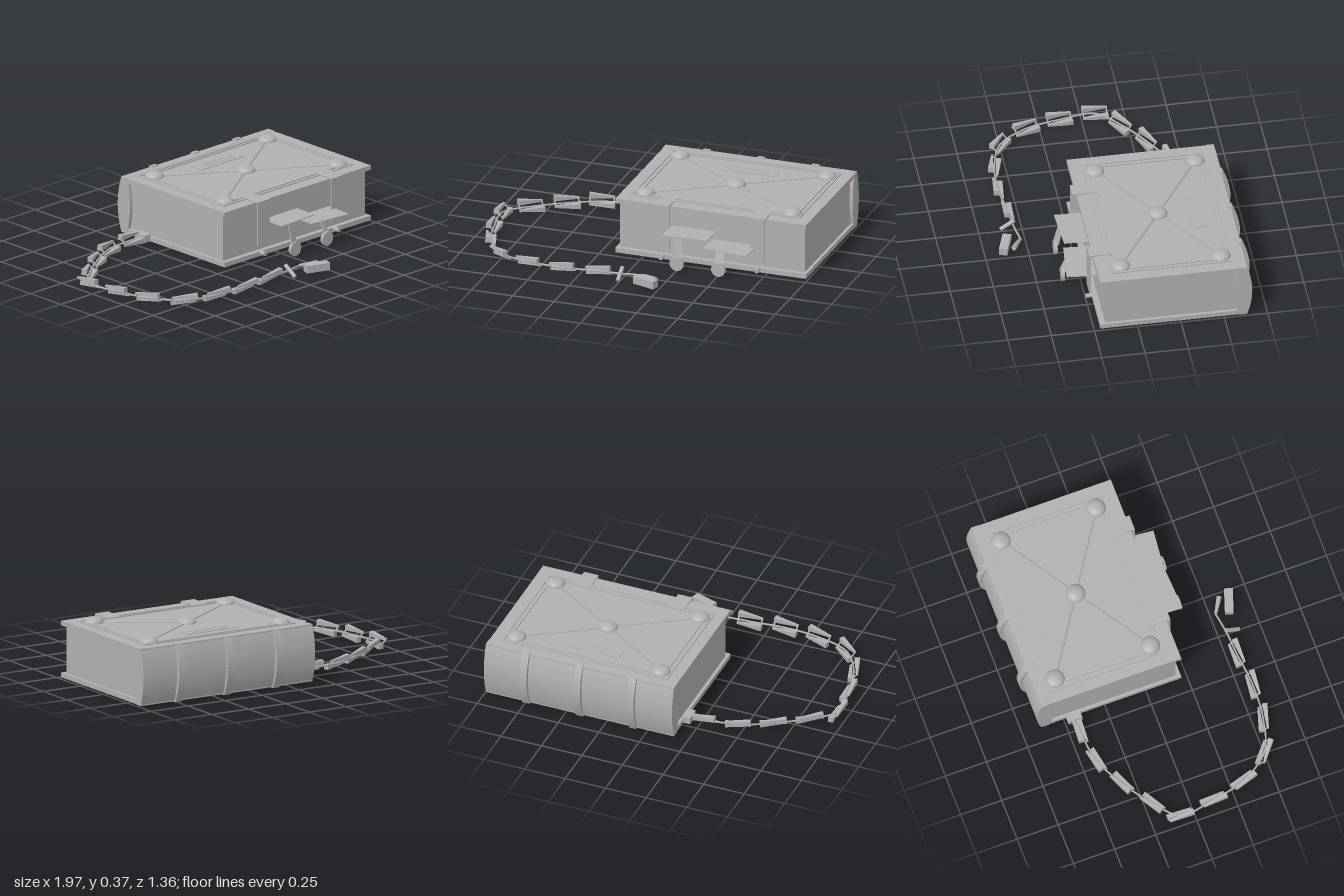
import * as THREE from 'three';

const V = (x, y, z) => new THREE.Vector3(x, y, z);

export function createModel() {
  const grey = new THREE.MeshStandardMaterial({ color: 0xb0b0b0 });
  grey.name = 'plain grey';
  const greySheet = grey;
  greySheet.side = THREE.DoubleSide;
  const model = new THREE.Group();
  model.name = 'chainedBook';

  const add = (name, geometry, parent = model) => {
    const mesh = new THREE.Mesh(geometry, grey);
    mesh.name = name;
    parent.add(mesh);
    return mesh;
  };
  // box given by its lower and upper limits
  const box = (name, x0, x1, y0, y1, z0, z1, parent) => {
    const m = add(name, new THREE.BoxGeometry(x1 - x0, y1 - y0, z1 - z0), parent);
    m.position.set((x0 + x1) / 2, (y0 + y1) / 2, (z0 + z1) / 2);
    return m;
  };
  // straight, optionally tapered bar between two points
  const bar = (name, a, b, r0, r1, sides, parent) => {
    const d = b.clone().sub(a);
    const g = new THREE.CylinderGeometry(r1, r0, d.length(), sides);
    const m = add(name, sides < 6 ? g.toNonIndexed() : g, parent);
    if (sides < 6) m.geometry.computeVertexNormals();
    m.position.copy(a).add(b).multiplyScalar(0.5);
    m.quaternion.setFromUnitVectors(V(0, 1, 0), d.normalize());
    return m;
  };

  // pages and covers
  box('pageBlock', -0.145, 0.975, 0.03, 0.33, -0.6, 0.185);
  box('topCover', -0.163, 0.993, 0.318, 0.345, -0.635, 0.215);
  box('bottomCover', -0.163, 0.993, 0.014, 0.042, -0.635, 0.215);

  // rounded spine and its raised bands, as profiles extruded along x
  const alongX = (name, shape, x0, x1) => {
    const g = new THREE.ExtrudeGeometry(shape, { depth: x1 - x0, bevelEnabled: false, curveSegments: 14 });
    const m = add(name, g);
    m.rotation.y = Math.PI / 2;
    m.position.x = x0;
  };
  const spine = new THREE.Shape();
  spine.moveTo(0.587, 0.012);
  spine.lineTo(0.632, 0.012);
  spine.quadraticCurveTo(0.692, 0.18, 0.632, 0.347);
  spine.lineTo(0.587, 0.347);
  spine.quadraticCurveTo(0.535, 0.18, 0.587, 0.012);
  alongX('spine', spine, -0.165, 0.995);

  const band = new THREE.Shape();
  band.moveTo(0.615, 0.006);
  band.lineTo(0.642, 0.008);
  band.quadraticCurveTo(0.728, 0.18, 0.642, 0.352);
  band.lineTo(0.615, 0.353);
  band.closePath();
  for (const x of [0.085, 0.415, 0.745]) alongX('spineBand', band, x - 0.022, x + 0.022);

  // raised double frame on the top cover
  const frame = (x0, x1, z0, z1, w) => {
    const y0 = 0.344, y1 = 0.351;
    box('coverFrame', x0, x1, y0, y1, z0, z0 + w);
    box('coverFrame', x0, x1, y0, y1, z1 - w, z1);
    box('coverFrame', x0, x0 + w, y0, y1, z0, z1);
    box('coverFrame', x1 - w, x1, y0, y1, z0, z1);
  };
  frame(-0.097, 0.925, -0.568, 0.14, 0.01);
  frame(-0.067, 0.898, -0.54, 0.11, 0.008);

  // domed studs joined by diagonal ridges
  const centre = V(0.415, 0.346, -0.213);
  const dome = (p) => {
    const m = add('stud', new THREE.SphereGeometry(0.056, 20, 8, 0, Math.PI * 2, 0, Math.PI / 2));
    m.scale.y = 0.58;
    m.position.copy(p);
  };
  dome(centre);
  for (const x of [-0.03, 0.86]) for (const z of [-0.502, 0.077]) {
    const p = V(x, 0.346, z);
    dome(p);
    bar('diagonalRidge', centre, p, 0.007, 0.007, 6);
  }

  // title plate with two blank raised lines
  box('titlePlate', 0.24, 0.58, 0.344, 0.349, -0.475, -0.39);
  for (const z of [-0.45, -0.42]) box('plateLine', 0.29, 0.53, 0.349, 0.351, z - 0.004, z + 0.004);

  // clasp straps folding over the front edge
  for (const x of [0.125, 0.705]) {
    box('claspStrapTop', x - 0.045, x + 0.045, 0.343, 0.352, 0.1, 0.238);
    box('claspStrapFront', x - 0.045, x + 0.045, 0.085, 0.352, 0.229, 0.238);
    bar('claspPin', V(x, 0.034, 0.21), V(x, 0.034, 0.252), 0.013, 0.013, 12);
  }

  // loose paper slips, each with a ribbon and a round seal
  const slip = (pts, y, sealX, sealZ) => {
    const g = new THREE.Group();
    g.name = 'sealedSlip';
    model.add(g);
    const s = new THREE.Shape(pts.map(([x, z]) => new THREE.Vector2(x, -z)));
    const sheet = add('paperSlip', new THREE.ExtrudeGeometry(s, { depth: 0.004, bevelEnabled: false }), g);
    sheet.rotation.x = -Math.PI / 2;
    sheet.position.y = y;
    const top = V(sealX - 0.005, y, sealZ - 0.035), low = V(sealX, 0.09, sealZ - 0.006);
    const ribbon = bar('ribbon', top, low, 0.022, 0.026, 4, g);
    ribbon.geometry.rotateY(Math.PI / 4);
    ribbon.geometry.scale(1.5, 1, 0.15);
    bar('waxSeal', V(sealX, 0.058, sealZ - 0.009), V(sealX, 0.058, sealZ + 0.009), 0.042, 0.042, 20, g);
  };
  slip([[0.17, 0.185], [0.44, 0.185], [0.435, 0.33], [0.165, 0.345]], 0.212, 0.26, 0.353);
  slip([[0.42, 0.185], [0.695, 0.185], [0.68, 0.358], [0.41, 0.332]], 0.162, 0.512, 0.353);

  // chain anchor on the bottom cover
  box('chainAnchor', -0.203, -0.155, 0.012, 0.055, -0.485, -0.4);

  // links: two wedge bars tapering in opposite directions, closed by thin ends
  const links = [[-0.27, -0.44], [-0.47, -0.415], [-0.65, -0.325], [-0.825, -0.205], [-0.948, -0.08],
    [-0.925, 0.13], [-0.875, 0.33], [-0.755, 0.5], [-0.56, 0.565], [-0.35, 0.58], [-0.14, 0.56]];
  const chain = new THREE.Group();
  chain.name = 'chain';
  model.add(chain);
  const angles = [-0.05, -0.3, -0.52, -0.65, -1.65, -1.73, -1.98, -2.55, -2.95, -3.14, -3.22];
  links.forEach(([x, z], i) => {
    const link = new THREE.Group();
    link.name = 'chainLink';
    const h = 0.074;
    const upper = bar('upperBar', V(-h, 0.066, -0.021), V(h, 0.06, -0.016), 0.022, 0.008, 4, link);
    const lower = bar('lowerBar', V(-h, 0.026, 0.016), V(h, 0.024, 0.021), 0.008, 0.022, 4, link);
    for (const b of [upper, lower]) b.geometry.rotateY(Math.PI / 4);
    for (const s of [-1, 1]) bar('linkEnd', V(s * h * 0.93, 0.062, -0.018), V(s * h * 0.93, 0.025, 0.018), 0.005, 0.005, 6, link);
    link.position.set(x, 0, z);
    link.rotation.y = Math.PI + (-angles[i]);
    if (i < 4) link.rotation.y = -angles[i];
    if (i > 3) link.rotation.y = angles[i] * -1;
    chain.add(link);
  });

  // thin core joining the links from the anchor to the clasp
  const path = [[-0.2, -0.44], ...links, [0, 0.55], [0.13, 0.53]].map(([x, z]) => V(x, 0.037, z));
  add('chainCore', new THREE.TubeGeometry(new THREE.CatmullRomCurve3(path), 90, 0.006, 6), chain);

  // toggle pin, hook and end block
  bar('togglePin', V(0, 0.075, 0.545), V(0, 0.022, 0.625), 0.012, 0.012, 10, chain);
  bar('hook', V(0.125, 0.037, 0.53), V(0.215, 0.045, 0.585), 0.009, 0.017, 6, chain);
  const block = box('endBlock', 0.098, 0.242, 0.02, 0.064, 0.602, 0.652, chain);
  block.rotation.y = -0.32;

  return model;
}
